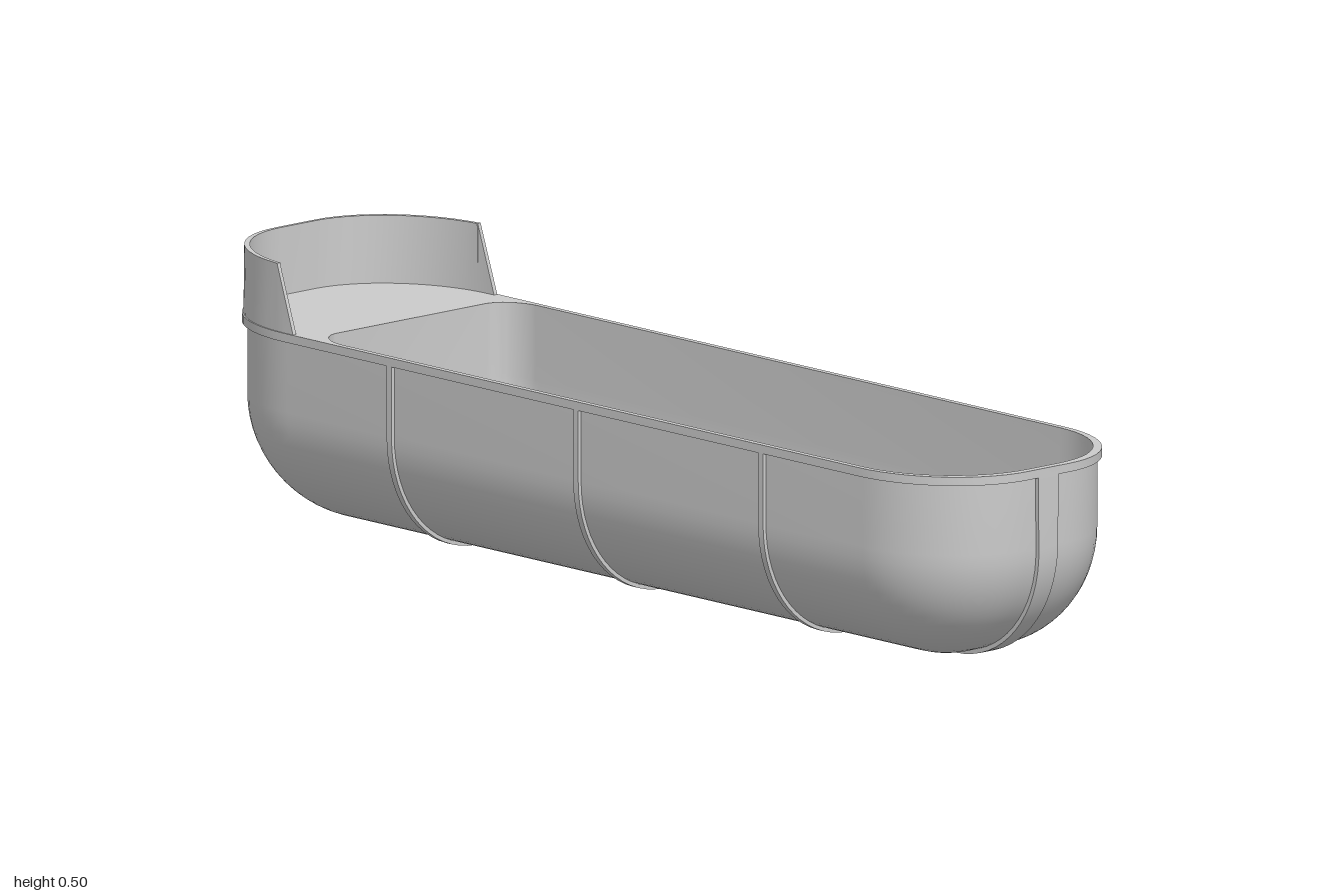
import * as THREE from 'three';
import { toCreasedNormals } from 'three/addons/utils/BufferGeometryUtils.js';

const RIM_Y = 0.375, FLOOR_Y = 0.008, BILGE = 0.22;
const material = new THREE.MeshStandardMaterial({ color: 0xcccccc, side: THREE.DoubleSide });

function part(name, geometry, crease = 0.6) {
  const mesh = new THREE.Mesh(toCreasedNormals(geometry, crease), material);
  mesh.name = name;
  return mesh;
}

// Surface through rows of [x, y, z] points
function loft(rows, closed) {
  const n = rows[0].length, index = [];
  for (let i = 0; i < rows.length - 1; i++) {
    for (let j = 0; j < (closed ? n : n - 1); j++) {
      const k = (j + 1) % n, a = i * n + j, b = i * n + k, c = a + n, d = b + n;
      index.push(a, c, b, b, c, d);
    }
  }
  const g = new THREE.BufferGeometry();
  g.setAttribute('position', new THREE.Float32BufferAttribute(rows.flat(2), 3));
  g.setIndex(index);
  g.computeVertexNormals();
  return g;
}

// Rounded plan outline at height y; front and back corners are elliptical
function ring(y, w, front, back, [rxF, rzF], [rxB, rzB], seg = 14) {
  const pts = [];
  for (let q = 0; q < 4; q++) {
    const [rx, rz] = q < 2 ? [rxF, rzF] : [rxB, rzB];
    const sx = q === 0 || q === 3 ? 1 : -1;
    const cz = q < 2 ? front - rzF : back + rzB;
    for (let i = 0; i <= seg; i++) {
      const t = (q + i / seg) * Math.PI / 2;
      pts.push([sx * (w - rx) + rx * Math.cos(t), y, cz + rz * Math.sin(t)]);
    }
  }
  return pts;
}

const hullRing = (y, c) => ring(y, 0.045 + 0.2 * c, 0.992 - 0.22 * (1 - c), -0.992 + 0.24 * (1 - c),
  [0.2 * c, 0.22 * c], [0.2 * c, 0.24 * c]);
const tubRing = (y, c) => ring(y, 0.04 + 0.2 * c, 0.985 - 0.215 * (1 - c), -0.69 + 0.09 * (1 - c),
  [0.2 * c, 0.215 * c], [0.06 * c, 0.08 * c]);
const rimRing = (y, off = 0) => ring(y, 0.252 - off, 1 - off, -1 + off, [0.2, 0.23], [0.2, 0.245]);

// Bowl with a rounded bottom and upright walls
function bowl(ringAt, floor, top) {
  const rows = [];
  for (let i = 0; i <= 16; i++) {
    const t = i / 16 * Math.PI / 2;
    rows.push(ringAt(floor + BILGE * (1 - Math.cos(t)), Math.sin(t)));
  }
  rows.unshift(rows[0].map(([, y, z]) => [0, y, z]));
  rows.push(ringAt(top, 1));
  return rows;
}

// U-shaped strip hugging the hull, half = reach, rNeg and rPos = end radii
function strip(half, rNeg, rPos, off, width) {
  const profile = (o) => {
    const pts = [new THREE.Vector2(-half - o, 0.365)];
    for (let i = 0; i <= 32; i++) {
      const left = i <= 16, t = (left ? i / 16 : (i - 16) / 16) * Math.PI / 2;
      const r = left ? rNeg : rPos;
      const u = left ? -half + r - (r + o) * Math.cos(t) : half - r + (r + o) * Math.sin(t);
      const drop = left ? Math.sin(t) : Math.cos(t);
      if (i === 16) pts.push(new THREE.Vector2(u, FLOOR_Y - o), new THREE.Vector2(half - rPos, FLOOR_Y - o));
      else pts.push(new THREE.Vector2(u, FLOOR_Y + BILGE - (BILGE + o) * drop));
    }
    pts.push(new THREE.Vector2(half + o, 0.365));
    return pts;
  };
  const shape = new THREE.Shape([...profile(off), ...profile(-0.003).reverse()]);
  return new THREE.ExtrudeGeometry(shape, { depth: width, bevelEnabled: false }).translate(0, 0, -width / 2);
}

// Rim and rear deck in one plate, open over the tub
function deckPlate() {
  const flat = (pts) => pts.map(([x, , z]) => new THREE.Vector2(x, z));
  const shape = new THREE.Shape(flat(rimRing(0)));
  shape.holes.push(new THREE.Path(flat(tubRing(0, 1))));
  return new THREE.ExtrudeGeometry(shape, { depth: 0.016, bevelEnabled: false })
    .rotateX(Math.PI / 2).translate(0, RIM_Y, 0);
}

// Upright screen wrapping the back end, with raked front edges
function screen() {
  const edge = (y, limit, off) => {
    const back = rimRing(y, off).slice(30);
    const x = back[0][0];
    return [[x, y, -0.73], ...back, [-x, y, -0.73]].map(([px, py, pz]) => [px, py, Math.min(pz, limit)]);
  };
  const low = RIM_Y - 0.005, high = 0.5;
  const rows = [edge(low, -0.73, 0.002), edge(high, -0.775, 0.003), edge(high, -0.775, 0.01),
    edge(low, -0.73, 0.01), edge(low, -0.73, 0.002)];
  const g = loft(rows, false);
  // Close the two raked ends
  const n = rows[0].length, idx = [...g.index.array];
  idx.push(0, 2 * n, n, 0, 3 * n, 2 * n);
  const e = n - 1;
  idx.push(e, e + n, e + 2 * n, e, e + 2 * n, e + 3 * n);
  g.setIndex(idx);
  return g;
}

export function createModel() {
  const model = new THREE.Group();
  model.name = 'openPod';

  model.add(part('hull', loft(bowl(hullRing, FLOOR_Y, 0.365), true)));
  model.add(part('tubInterior', loft(bowl(tubRing, 0.018, RIM_Y).reverse(), true)));
  model.add(part('rimAndRearDeck', deckPlate()));
  model.add(part('rearScreen', screen()));

  // Hoop ribs around the hull
  for (const z of [0.51, 0.02, -0.475]) {
    model.add(part('hoopRib', strip(0.245, 0.2, 0.2, 0.007, 0.013).translate(0, 0, z)));
  }

  // Keel running end to end, widening towards the rim
  const keel = strip(0.992, 0.24, 0.22, 0.008, 2).rotateY(-Math.PI / 2);
  const p = keel.attributes.position;
  for (let i = 0; i < p.count; i++) {
    p.setX(i, Math.sign(p.getX(i)) * (0.018 + 0.007 * Math.min(1, p.getY(i) / 0.3)));
  }
  model.add(part('keel', keel));

  return model;
}
